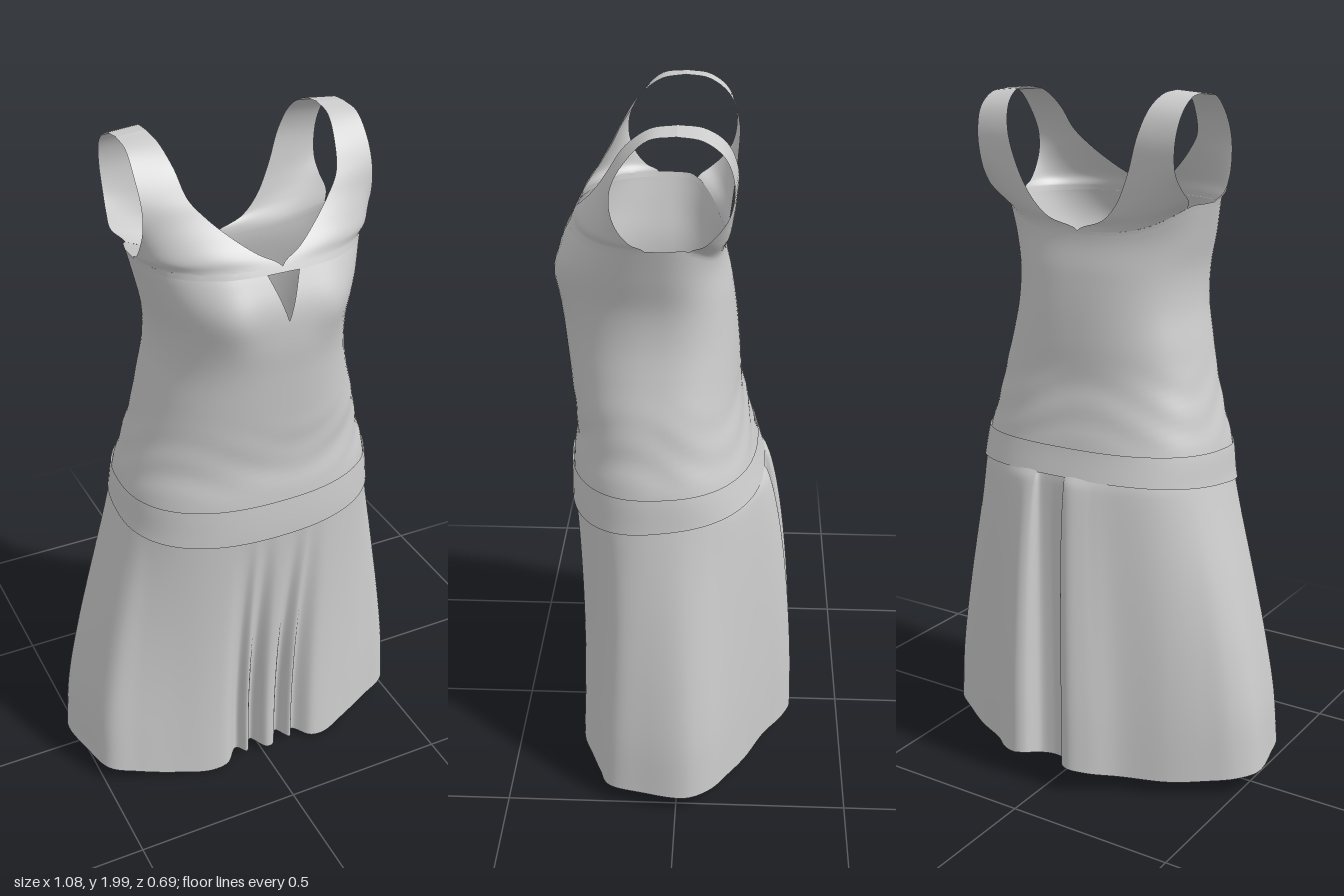
import * as THREE from 'three';
import { mergeGeometries, mergeVertices } from 'three/addons/utils/BufferGeometryUtils.js';

const V = (x, y, z) => new THREE.Vector3(x, y, z);
const { lerp, smoothstep } = THREE.MathUtils;
const CX = 0.027, ZC = 0.05, COLS = 96, TAU = Math.PI * 2, ROUND = 2.4;

// Grid surface: point(row, col) gives a Vector3; columns run right, rows run up
function grid(rows, cols, point, flip = false) {
  const pos = [], index = [];
  for (let r = 0; r <= rows; r++)
    for (let c = 0; c <= cols; c++) pos.push(...point(r, c).toArray());
  for (let r = 0; r < rows; r++)
    for (let c = 0; c < cols; c++) {
      const a = r * (cols + 1) + c, b = a + 1, d = a + cols + 1, e = d + 1;
      index.push(...(flip ? [a, e, b, a, d, e] : [a, b, e, a, e, d]));
    }
  const g = new THREE.BufferGeometry();
  g.setAttribute('position', new THREE.Float32BufferAttribute(pos, 3));
  g.setIndex(index);
  return g;
}

function cloth(name, parts) {
  const g = mergeVertices(mergeGeometries(parts), 1e-4);
  g.computeVertexNormals();
  const mesh = new THREE.Mesh(g, new THREE.MeshStandardMaterial({ color: 0xcccccc, side: THREE.DoubleSide }));
  mesh.name = name;
  return mesh;
}

// Torso extents by height: min x, max x, front z, back z
const heights = [0.8, 0.9, 1.0, 1.1, 1.2, 1.3, 1.4, 1.5, 1.6, 1.7];
const torso = new THREE.CubicInterpolant(heights, [
  -0.385, 0.425, 0.315, -0.27,
  -0.36, 0.41, 0.317, -0.25,
  -0.348, 0.398, 0.312, -0.22,
  -0.32, 0.37, 0.302, -0.195,
  -0.292, 0.348, 0.31, -0.172,
  -0.27, 0.32, 0.32, -0.165,
  -0.25, 0.30, 0.33, -0.155,
  -0.25, 0.30, 0.34, -0.14,
  -0.272, 0.325, 0.335, -0.12,
  -0.298, 0.352, 0.29, -0.128,
], 4);

// Rounded-box cross-section; angle 0 is the front, growing toward +x
function section(y, a, grow = 0) {
  const [x0, x1, zf, zb] = torso.evaluate(y);
  const s = Math.sin(a), c = Math.cos(a);
  const r = Math.pow(Math.abs(s) ** ROUND + Math.abs(c) ** ROUND, -1 / ROUND);
  // faint cloth creases above the hip band
  const crease = 0.0015 * Math.sin(y * 60 + 4 * Math.sin(3 * a + 1)) * smoothstep(y, 1.0, 1.05) * (1 - smoothstep(y, 1.12, 1.3));
  const w = (x1 - x0) / 2 + grow + crease;
  const d = (c > 0 ? zf - ZC : ZC - zb) + grow + crease;
  const x = w * s * r;
  // fuller bust on both sides of the front
  const bust = c > 0 ? 0.018 * Math.exp(-(((Math.abs(x) - 0.15) / 0.06) ** 2) - ((y - 1.57) / 0.08) ** 2) : 0;
  return V((x0 + x1) / 2 + x, y, ZC + d * c * r + bust);
}

// Upper edge of the bodice, dipping at the back
const TOP = 1.695;
const topY = a => lerp(TOP, 1.615, smoothstep(-Math.cos(a), 0.3, 1));
const bandTop = a => 1.0 - 0.015 * Math.cos(a);
const bandBottom = a => 0.9 - 0.035 * Math.cos(a);

// Point on (or a little below) the bodice's upper edge, relative to its middle
function topRing(col, below = 0) {
  const a = col / COLS * TAU, p = section(topY(a) - below, a);
  p.x -= CX;
  return p;
}

// Bodice rows; the front seam opens into a tapered keyhole
function bodiceGeometry() {
  const rows = [];
  for (let y = 0.96; y < 1.559; y += 0.02) rows.push([y, 0]);
  for (let i = 0; i <= 6; i++) rows.push([1.56 + i * 0.02, 0.14 * i / 6]);
  rows.push([1.6805, 0], [TOP, 0]);
  return grid(rows.length - 1, COLS, (r, c) => {
    const [y, gap] = rows[r];
    const a = gap + (TAU - 2 * gap) * c / COLS;
    const h = y > 1.5 ? 1.5 + (y - 1.5) / (TOP - 1.5) * (topY(a) - 1.5) : y;
    return section(h, a);
  });
}

// Strap stations from bodice to shoulder: neck edge, armhole edge, share of the bodice's curvature kept
const frontStations = [
  [V(0.06, 1.73, 0.27), V(0.328, 1.715, 0.118), 0.97],
  [V(0.115, 1.77, 0.24), V(0.33, 1.75, 0.148), 0.8],
  [V(0.17, 1.82, 0.207), V(0.328, 1.80, 0.166), 0.5],
  [V(0.21, 1.87, 0.178), V(0.328, 1.86, 0.163), 0.25],
  [V(0.226, 1.935, 0.135), V(0.33, 1.925, 0.128), 0.1],
  [V(0.24, 1.985, 0.07), V(0.328, 1.98, 0.07), 0],
  [V(0.245, 1.997, 0), V(0.326, 1.99, 0), 0],
];
const backStations = [
  [V(0.09, 1.65, -0.13), V(0.325, 1.712, -0.07), 0.9],
  [V(0.14, 1.70, -0.138), V(0.322, 1.745, -0.105), 0.6],
  [V(0.18, 1.78, -0.148), V(0.318, 1.79, -0.133), 0.3],
  [V(0.21, 1.88, -0.15), V(0.322, 1.87, -0.142), 0.12],
  [V(0.228, 1.95, -0.12), V(0.328, 1.94, -0.118), 0.05],
  [V(0.24, 1.988, -0.065), V(0.328, 1.98, -0.065), 0],
  [V(0.245, 1.997, 0), V(0.326, 1.99, 0), 0],
];

// Half a strap rising smoothly from the bodice edge between two ring columns
function strapGeometry(stations, fromCol, toCol, side) {
  const cols = Math.abs(toCol - fromCol), rows = 36, dir = Math.sign(toCol - fromCol);
  const spans = stations.length + 1, last = topRing(toCol);
  // bow of the bodice edge away from its chord, taken outward from the neck edge
  const bow = (neckX, t) => {
    const u = neckX / 0.327;
    const start = fromCol + dir * Math.atan2(u, (1 - u ** ROUND) ** (1 / ROUND)) / TAU * COLS;
    const b = topRing(lerp(start, toCol, t)).sub(topRing(start).lerp(last, t));
    return b.setY(0);
  };
  const curves = [];
  for (let c = 0; c <= cols; c++) {
    const t = c / cols, col = fromCol + dir * c;
    curves.push(new THREE.CatmullRomCurve3([
      topRing(col, 0.04), topRing(col),
      ...stations.map(([neck, arm, keep]) => neck.clone().lerp(arm, t).addScaledVector(bow(neck.x, t), keep)),
    ]));
  }
  return grid(rows, cols, (r, c) => {
    const p = curves[c].getPoint((1 + r / rows * (spans - 1)) / spans);
    return V(CX + side * p.x, p.y, p.z);
  }, side * dir < 0);
}

// One side of the hem from front centre to back centre, with its pleats
const hemHalf = [
  [0.012, 0.03, 0.302], [0.045, 0.03, 0.25], [0.075, 0.03, 0.295], [0.10, 0.025, 0.262], [0.145, 0.015, 0.302],
  [0.2, 0.005, 0.3], [0.3, 0.015, 0.268], [0.4, 0.035, 0.235], [0.485, 0.055, 0.2], [0.518, 0.058, 0.1],
  [0.538, 0.06, -0.03], [0.50, 0.06, -0.1], [0.43, 0.055, -0.15], [0.34, 0.05, -0.205], [0.22, 0.055, -0.262],
  [0.15, 0.07, -0.32], [0.095, 0.08, -0.345], [0.065, 0.08, -0.33], [0.048, 0.06, -0.275], [0.015, 0.06, -0.263],
];
const flare = new THREE.CubicInterpolant([0, 0.12, 0.35, 0.58, 0.8, 1], [0, 0.15, 0.45, 0.72, 0.92, 1], 1);

function skirtGeometry() {
  // the pleats line up with the bodice's middle, the outer hem with the origin
  const place = side => ([x, y, z]) => V(side * x + 0.018 * (1 - smoothstep(x, 0.15, 0.4)), y, z);
  const hem = new THREE.CatmullRomCurve3([...hemHalf.map(place(1)), ...hemHalf.map(place(-1)).reverse()], true);
  const rows = 40, cols = 280;
  return grid(rows, cols, (r, c) => {
    const p = hem.getPoint((c % cols) / cols);
    // pleats are ignored when finding the matching place on the waist, so they fade out upward
    const z = Math.abs(p.x) > 0.16 ? p.z : p.z > 0 ? 0.302 : -0.315;
    const a = Math.atan2(p.x / 0.385, (z - ZC) / (z > ZC ? 0.27 : 0.3));
    const top = section(bandBottom(a) + 0.015, a, -0.002);
    const down = 1 - r / rows, f = flare.evaluate(down)[0];
    // the back fills out sooner than the sides; the front hangs slightly inward
    const fz = f ** lerp(1, 0.48, smoothstep(-p.z, 0, 0.25));
    const sag = 0.012 * Math.sin(Math.PI * down) * smoothstep(p.z, 0.1, 0.25);
    return V(lerp(top.x, p.x, f), lerp(top.y, p.y, down), lerp(top.z, p.z, fz) - sag);
  });
}

export function createModel() {
  const dress = new THREE.Group();
  dress.name = 'dress';

  // Bodice with both shoulder straps
  const parts = [bodiceGeometry()];
  for (const side of [1, -1])
    parts.push(strapGeometry(frontStations, 0, 22, side), strapGeometry(backStations, 48, 31, side));
  dress.add(cloth('bodiceAndStraps', parts));

  // Hip band, slightly proud of the cloth
  dress.add(cloth('hipBand', [grid(8, COLS, (r, c) => {
    const a = c / COLS * TAU;
    return section(lerp(bandBottom(a), bandTop(a), r / 8), a, 0.005);
  })]));

  dress.add(cloth('pleatedSkirt', [skirtGeometry()]));
  return dress;
}
